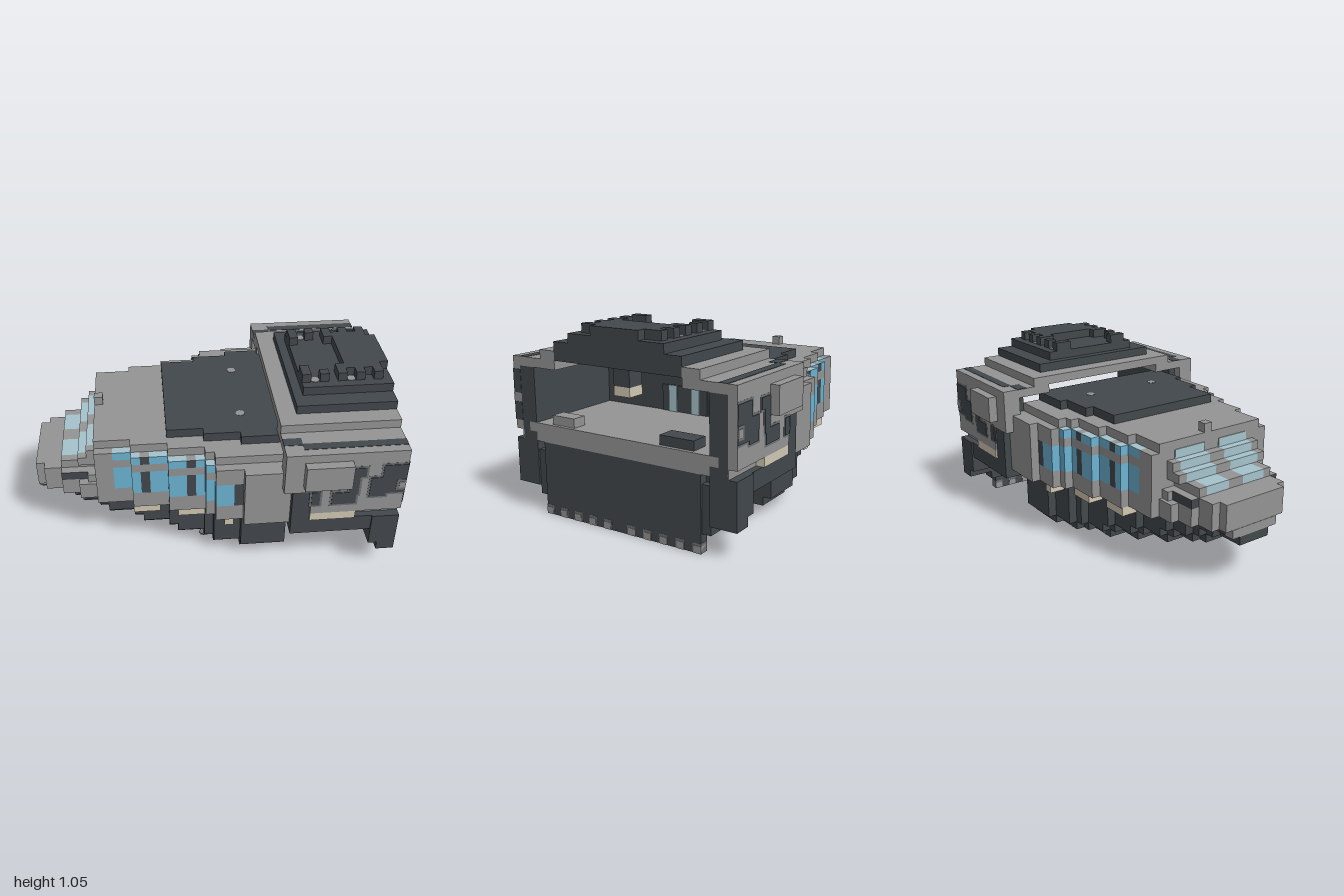
import * as THREE from 'three';

const paint = (name, color) => Object.assign(new THREE.MeshStandardMaterial({ color }), { name });

export function createModel() {
  const root = new THREE.Group();
  root.name = 'blockShip';
  const dark = paint('dark armour', 0x42484c);
  const grey = paint('grey hull', 0x949494);
  const worn = paint('worn edge', 0x6c7072);
  const blue = paint('blue glass', 0x6cb3d2);
  const pale = paint('pale glass', 0xa6c3cb);
  const beige = paint('beige light', 0xd2c9b4);
  const topped = (side, top) => [side, side, top, side, side, side];
  const pane = topped(blue, pale);
  const pillar = topped(dark, grey);

  // Box from its limits along each axis
  const box = (name, mat, x0, x1, y0, y1, z0, z1) => {
    const m = new THREE.Mesh(new THREE.BoxGeometry(x1 - x0, y1 - y0, z1 - z0), mat);
    m.position.set((x0 + x1) / 2, (y0 + y1) / 2, (z0 + z1) / 2);
    m.name = name;
    root.add(m);
  };
  const wide = (name, mat, x0, x1, y0, y1, w) => box(name, mat, x0, x1, y0, y1, -w, w);
  const pair = (name, mat, x0, x1, y0, y1, z0, z1) => {
    box(name + 'Left', mat, x0, x1, y0, y1, z0, z1);
    box(name + 'Right', mat, x0, x1, y0, y1, -z1, -z0);
  };
  const discGeometry = new THREE.CylinderGeometry(0.026, 0.026, 0.008, 8);
  const disc = (name, mat, x, y, z) => {
    const m = new THREE.Mesh(discGeometry, mat);
    m.position.set(x, y, z);
    m.name = name;
    root.add(m);
  };

  // Hull slices: x start, x end, half width
  const slices = [
    [-1, -0.95, 0.2], [-0.95, -0.85, 0.25], [-0.85, -0.75, 0.3], [-0.75, -0.65, 0.35],
    [-0.65, -0.45, 0.4], [-0.45, -0.25, 0.45], [-0.25, -0.05, 0.5], [-0.05, 0, 0.55],
    [0, 0.15, 0.6], [0.15, 0.4, 0.65],
  ];
  // Keel steps: x start, x end, lowest y
  const keel = [[-1, -0.8, 0.25], [-0.8, -0.6, 0.2], [-0.6, -0.4, 0.15], [-0.4, -0.2, 0.1], [-0.2, 0.4, 0.05]];
  // Window bays: x start, x end, material
  const bays = [
    [-0.65, -0.55, grey], [-0.55, -0.4, pane], [-0.4, -0.35, pillar], [-0.35, -0.15, pane],
    [-0.15, -0.1, pillar], [-0.1, 0.1, pane], [0.1, 0.15, pillar], [0.15, 0.4, grey],
  ];
  const overlap = (a, b, fn) => {
    const x0 = Math.max(a[0], b[0]), x1 = Math.min(a[1], b[1]);
    if (x1 - x0 > 0.01) fn(x0, x1);
  };
  for (const s of slices) {
    const w = s[2];
    wide('hullBelt', grey, s[0], s[1], 0.35, 0.45, w);
    for (const k of keel) overlap(s, k, (x0, x1) => {
      wide('lowerHull', dark, x0, x1, k[2] + 0.05, 0.35, Math.max(w - 0.1, 0.15));
      wide('keel', dark, x0, x1, k[2], k[2] + 0.05, Math.max(w - 0.15, 0.1));
    });
    if (s[0] < -0.66) continue;
    for (const b of bays) overlap(s, b, (x0, x1) => {
      wide('sideWindow', b[2], x0, x1, 0.45, 0.6, w);
      wide('windowBand', grey, x0, x1, 0.6, 0.65, w);
      wide('upperWindow', x0 > -0.01 ? grey : b[2], x0, x1, 0.65, 0.7, w);
    });
    wide('hullRoof', grey, s[0], s[1], 0.7, 0.75, w > 0.6 ? 0.55 : w - 0.05);
  }

  // Beige lamps under the belt
  for (const [x0, x1, z] of [[-0.45, -0.3, 0.44], [-0.2, -0.05, 0.49], [0.05, 0.1, 0.59]])
    pair('beltLamp', beige, x0, x1, 0.3, 0.35, z - 0.1, z);

  // Nose deck and stepped windscreen
  wide('noseTip', grey, -1.002, -0.95, 0.3, 0.35, 0.153);
  wide('noseDeck', grey, -1, -0.95, 0.45, 0.5, 0.2);
  wide('noseDeck', grey, -0.95, -0.85, 0.45, 0.5, 0.25);
  wide('noseDeck', pillar, -0.85, -0.7, 0.45, 0.5, 0.3);
  wide('noseDeck', grey, -0.7, -0.65, 0.45, 0.5, 0.33);
  [[-0.85, 0.5, 0.2], [-0.75, 0.55, 0.25], [-0.7, 0.6, 0.25]].forEach(([x, y, w]) => {
    wide('windscreenPillar', grey, x, -0.65, y, y + 0.05, 0.05);
    pair('windscreen', pale, x, -0.65, y, y + 0.05, 0.05, w);
    pair('windscreenFrame', grey, x, -0.65, y, y + 0.05, w, w + 0.05);
  });
  pair('windscreenTop', pale, -0.655, -0.649, 0.65, 0.7, 0.05, 0.25);
  box('roofKnob', grey, -0.65, -0.6, 0.75, 0.8, -0.05, 0);

  // Dark roof armour
  wide('roofArmour', dark, -0.25, -0.05, 0.75, 0.8, 0.35);
  wide('roofArmour', dark, -0.05, 0.15, 0.75, 0.8, 0.4);
  wide('roofArmour', dark, 0.15, 0.4, 0.75, 0.8, 0.445);
  for (const z of [-0.225, 0.225]) disc('roofStud', grey, 0.17, 0.798, z);

  // Studs under the hull and the bay floor
  for (let z = -0.425; z < 0.43; z += 0.1) {
    for (let x = -0.15; x < 0.38; x += 0.1)
      if (Math.abs(z) < 0.405 + x * 0.5) disc('keelStud', worn, x, 0.051, z);
    for (let x = 0.45; x < 0.83; x += 0.1) disc('bayStud', worn, x, 0.351, z);
  }
  pair('keelLamp', grey, -0.15, -0.1, 0.055, 0.095, 0.3, 0.354);

  // Cabin rear wall and door
  wide('rearWall', dark, 0.4, 0.405, 0.5, 0.7, 0.55);
  wide('rearWallLower', dark, 0.4, 0.405, 0.1, 0.4, 0.55);
  wide('rearDoor', dark, 0.405, 0.412, 0.5, 0.65, 0.15);
  pair('doorWindow', pale, 0.412, 0.418, 0.5, 0.65, 0.05, 0.1);

  // Open rear bay: floor, crates, walls
  wide('bayFloor', grey, 0.4, 1, 0.4, 0.5, 0.55);
  wide('bayFloorLip', grey, 0.95, 1.001, 0.45, 0.5, 0.6);
  box('bayCrateGrey', grey, 0.9, 0.98, 0.5, 0.55, 0.3, 0.45);
  box('bayCrateDark', dark, 0.88, 0.98, 0.5, 0.55, -0.45, -0.25);
  wide('bayUnderside', dark, 0.4, 0.95, 0.35, 0.4, 0.55);
  pair('bayWall', dark, 0.4, 1, 0.3, 0.8, 0.55, 0.65);
  pair('sidePlating', grey, 0.35, 1, 0.6, 0.85, 0.65, 0.7);
  pair('sidePlatingFront', grey, 0.35, 0.4, 0.6, 0.85, 0.6, 0.65);
  pair('sidePlatingLow', grey, 0.5, 1, 0.45, 0.6, 0.65, 0.7);
  pair('sideSkirt', dark, 0.4, 1, 0.3, 0.4, 0.65, 0.69);
  pair('sideRecess', dark, 0.4, 0.5, 0.4, 0.6, 0.65, 0.69);
  pair('sideSill', grey, 0.75, 1, 0.4, 0.45, 0.645, 0.654);
  pair('sideLamp', beige, 0.5, 0.75, 0.4, 0.45, 0.65, 0.7);
  pair('sidePanel', grey, 0.45, 0.7, 0.65, 0.8, 0.7, 0.75);
  // Dark camouflage patches with worn edges
  for (const [x0, x1, y0, y1] of [[0.5, 0.545, 0.51, 0.6], [0.61, 0.74, 0.51, 0.59], [0.7, 0.75, 0.57, 0.75],
    [0.75, 0.78, 0.69, 0.75], [0.81, 0.9, 0.55, 0.68], [0.87, 1, 0.57, 0.76]]) {
    pair('patchEdge', worn, x0 - 0.012, Math.min(x1 + 0.012, 1), y0 - 0.012, y1 + 0.012, 0.698, 0.701);
    pair('sidePatch', dark, x0, x1, y0, y1, 0.698, 0.704);
  }
  pair('studEdge', worn, 0.95, 1, 0.59, 0.66, 0.7, 0.706);
  pair('sideStud', grey, 0.965, 1, 0.605, 0.645, 0.7, 0.708);
  for (const [y0, y1] of [[0.5, 0.6], [0.65, 0.78]]) box('endPatch', dark, 0.998, 1.002, y0, y1, 0.65, 0.703);

  // Rear ramp and its stepped cheeks
  wide('ramp', dark, 0.95, 1, 0, 0.4, 0.5);
  wide('rampStep', dark, 0.9, 0.95, 0.1, 0.4, 0.5);
  wide('rampStep', dark, 0.85, 0.9, 0.2, 0.4, 0.5);
  pair('rampCheekInner', dark, 0.9, 0.99, 0.1, 0.35, 0.5, 0.55);
  pair('rampCheek', dark, 0.9, 1, 0.15, 0.4, 0.55, 0.7);
  pair('rampCheekStep', dark, 0.85, 0.9, 0.2, 0.4, 0.55, 0.7);
  for (let i = 0; i < 5; i++) {
    const z = 0.076 + i * 0.1;
    pair('rampStudEdge', worn, 0.949, 1.001, 0, 0.052, z - 0.025, z + 0.025);
    pair('rampStud', grey, 0.948, 1.003, 0, 0.038, z - 0.018, z + 0.025);
  }

  // Bay roof
  pair('roofRail', grey, 0.35, 1, 0.8, 0.9, 0.4, 0.5);
  pair('roofEdge', grey, 0.35, 1, 0.8, 0.85, 0.5, 0.65);
  wide('roofCrossbar', grey, 0.35, 0.45, 0.85, 0.9, 0.4);
  pair('roofStripe', dark, 0.45, 1, 0.846, 0.852, 0.6, 0.65);
  pair('roofHatch', dark, 0.35, 0.45, 0.846, 0.852, 0.55, 0.61);

  // Stepped top armour
  wide('topArmour', dark, 0.45, 1, 0.85, 0.95, 0.4);
  wide('topArmour', dark, 0.5, 1, 0.95, 1, 0.3);
  wide('topPlatform', dark, 0.75, 1, 1, 1.05, 0.15);
  pair('topRail', dark, 0.7, 0.95, 1, 1.05, 0.15, 0.2);
  for (const x of [0.5, 0.6, 0.7, 0.8, 0.9]) pair('topTooth', dark, x, x + 0.05, 1, 1.05, 0.2, 0.25);
  pair('topBracket', dark, 0.5, 0.55, 1, 1.05, 0.15, 0.2);
  for (const z of [-0.23, 0.23]) {
    disc('topStud', grey, 0.575, 1, z);
    disc('topStud', grey, 0.775, 1, z);
  }

  // Hanging ceiling lamp
  wide('lampMount', dark, 0.85, 0.95, 0.75, 0.85, 0.05);
  wide('ceilingLamp', beige, 0.85, 0.95, 0.7, 0.75, 0.05);

  return root;
}
